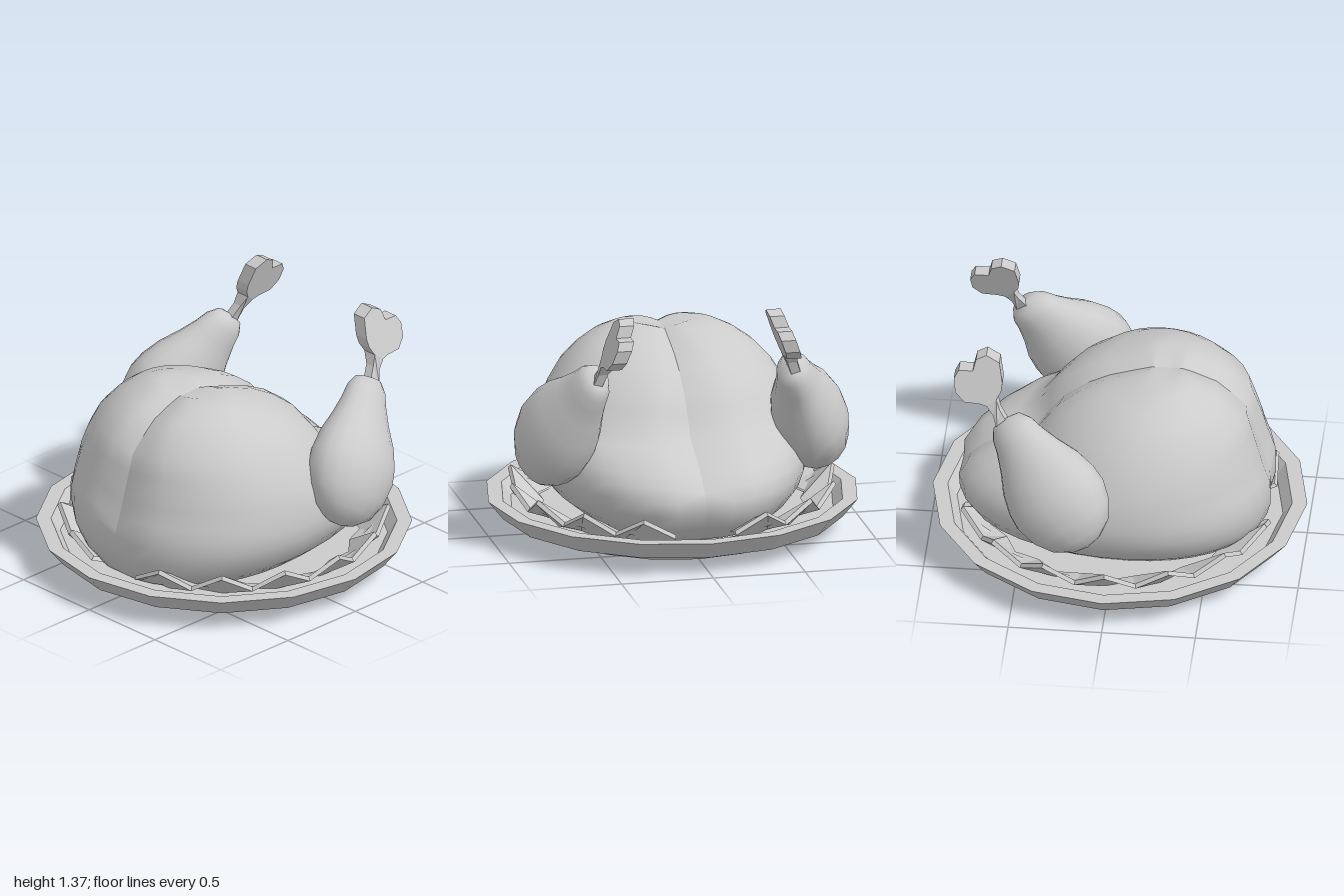
import * as THREE from 'three';

const smooth = new THREE.MeshStandardMaterial({ color: 0xcccccc });
const flat = new THREE.MeshStandardMaterial({ color: 0xcccccc, flatShading: true });
const flatDouble = new THREE.MeshStandardMaterial({ color: 0xcccccc, flatShading: true, side: THREE.DoubleSide });

function named(name, geometry, material) {
  const mesh = new THREE.Mesh(geometry, material);
  mesh.name = name;
  return mesh;
}

// Surface through a grid of points, rows[j][i]
function loft(rows) {
  const n = rows[0].length, index = [];
  for (let j = 0; j < rows.length - 1; j++) {
    for (let i = 0; i < n - 1; i++) {
      const a = j * n + i, b = a + 1, c = a + n, d = c + 1;
      index.push(a, c, b, b, c, d);
    }
  }
  const g = new THREE.BufferGeometry();
  g.setAttribute('position', new THREE.Float32BufferAttribute(rows.flat(2), 3));
  g.setIndex(index);
  g.computeVertexNormals();
  return g;
}

// Sixteen-sided plate with a foot and a flat rim
function plate() {
  const profile = [[0, 0.01], [0.65, 0.01], [0.68, 0.04], [0.69, 0.085], [0.92, 0.1],
    [1, 0.2], [0.92, 0.2], [0.87, 0.13], [0, 0.13]];
  return named('plate', new THREE.LatheGeometry(profile.map(p => new THREE.Vector2(...p)), 16), flat);
}

// Half of the roast, in horizontal slices; the seam at z = 0 stays a sharp crease
function bodyHalf() {
  // height, x min, x max, half width, x of the widest point
  const slices = [
    [0.13, -0.76, 0.72, 0, -0.1],
    [0.14, -0.76, 0.72, 0.52, -0.1],
    [0.22, -0.81, 0.81, 0.62, -0.1],
    [0.3, -0.83, 0.855, 0.685, -0.1],
    [0.38, -0.83, 0.86, 0.715, -0.1],
    [0.45, -0.825, 0.82, 0.72, -0.1],
    [0.51, -0.805, 0.755, 0.715, -0.1],
    [0.57, -0.785, 0.66, 0.705, -0.1],
    [0.61, -0.775, 0.56, 0.695, -0.1],
    [0.66, -0.76, 0.47, 0.68, -0.12],
    [0.76, -0.73, 0.4, 0.635, -0.14],
    [0.86, -0.7, 0.32, 0.57, -0.16],
    [0.95, -0.61, 0.2, 0.485, -0.18],
    [1.01, -0.54, 0.08, 0.4, -0.2],
    [1.06, -0.42, -0.08, 0.29, -0.25],
    [1.08, -0.36, -0.15, 0.18, -0.27],
    [1.08, -0.35, -0.16, 0, -0.27],
  ];
  const steps = 18;
  const rows = slices.map(([y, x0, x1, w, c]) => {
    const row = [];
    for (let i = 0; i <= steps; i++) {
      const t = Math.PI * i / steps, cos = Math.cos(t);
      const z = i === 0 || i === steps ? 0 : w * Math.pow(Math.sin(t), 0.87);
      const groove = Math.max(0, 1 - z / 0.16) ** 2;
      let x = c + cos * (cos > 0 ? x1 - c : c - x0);
      x -= Math.sign(cos) * 0.025 * groove * Math.min(1, Math.abs(cos) * 2);
      row.push([x, y - (y > 0.4 ? 0.035 * groove : 0), z]);
    }
    return row;
  });
  return named('bodyHalf', loft(rows), smooth);
}

// Pear-shaped meat, slightly flattened, leaning along its own axis
function drumstick() {
  const profile = [[0, -0.275], [0.09, -0.255], [0.18, -0.2], [0.245, -0.11], [0.277, 0],
    [0.272, 0.09], [0.24, 0.2], [0.185, 0.31], [0.145, 0.41], [0.125, 0.48], [0.085, 0.535], [0, 0.55]];
  const g = new THREE.LatheGeometry(profile.map(p => new THREE.Vector2(...p)), 18);
  const up = new THREE.Vector3(0.3, 0.4, -0.17).normalize();
  const side = new THREE.Vector3().crossVectors(up, new THREE.Vector3(0, 0, 1)).normalize();
  const out = new THREE.Vector3().crossVectors(side, up);
  g.scale(1, 1, 0.74);
  g.applyMatrix4(new THREE.Matrix4().makeBasis(side, up, out).setPosition(0.25, 0.62, 0.7));
  return named('drumstick', g, smooth);
}

// Bone with a two-knobbed end, thinner at the neck and leaning inwards
function bone() {
  const outline = [[0.53, 1.0], [0.6, 0.98], [0.625, 1.06], [0.66, 1.115], [0.7, 1.125], [0.78, 1.13],
    [0.83, 1.18], [0.84, 1.25], [0.815, 1.295], [0.74, 1.295], [0.725, 1.355], [0.67, 1.38],
    [0.6, 1.345], [0.58, 1.24], [0.585, 1.195], [0.61, 1.15], [0.59, 1.09]];
  const shape = new THREE.Shape(outline.map(p => new THREE.Vector2(...p)));
  const g = new THREE.ExtrudeGeometry(shape, { depth: 0.08, bevelEnabled: false });
  const p = g.attributes.position;
  for (let i = 0; i < p.count; i++) {
    const y = p.getY(i);
    const thickness = y < 1.11 ? 0.65 : 1;
    p.setZ(i, (p.getZ(i) - 0.04) * thickness + 0.53 - (y - 1.02) * 0.36);
  }
  return named('bone', g, flat);
}

// Zigzag leaf strip along one side of the plate, flaring outwards, with a thin edge
function leafStrip() {
  const inner = [], outer = [], edge = [], base = [];
  const point = (r, y, t) => [r * Math.cos(t), y, r * Math.sin(t)];
  for (let k = 1; k <= 15; k++) {
    const t = Math.PI * k / 16, peak = k % 2 === 0;
    const r = peak ? 0.885 : 0.84, y = peak ? 0.29 : 0.195;
    const foot = peak ? 0.74 : 0.7;
    inner.push(point(foot - 0.02, 0.15, t));
    edge.push(point(r - 0.015, y + 0.008, t));
    outer.push(point(r, y - 0.012, t));
    base.push(point(foot, 0.13, t));
  }
  return named('leafStrip', loft([base, outer, edge, inner]), flatDouble);
}

export function createModel() {
  const model = new THREE.Group();
  model.name = 'roastOnPlate';
  model.add(plate());
  // Each side is a mirror of the other across z = 0
  for (const s of [1, -1]) {
    const half = new THREE.Group();
    half.name = s > 0 ? 'frontSide' : 'backSide';
    half.add(bodyHalf(), drumstick(), bone(), leafStrip());
    half.scale.z = s;
    model.add(half);
  }
  return model;
}
